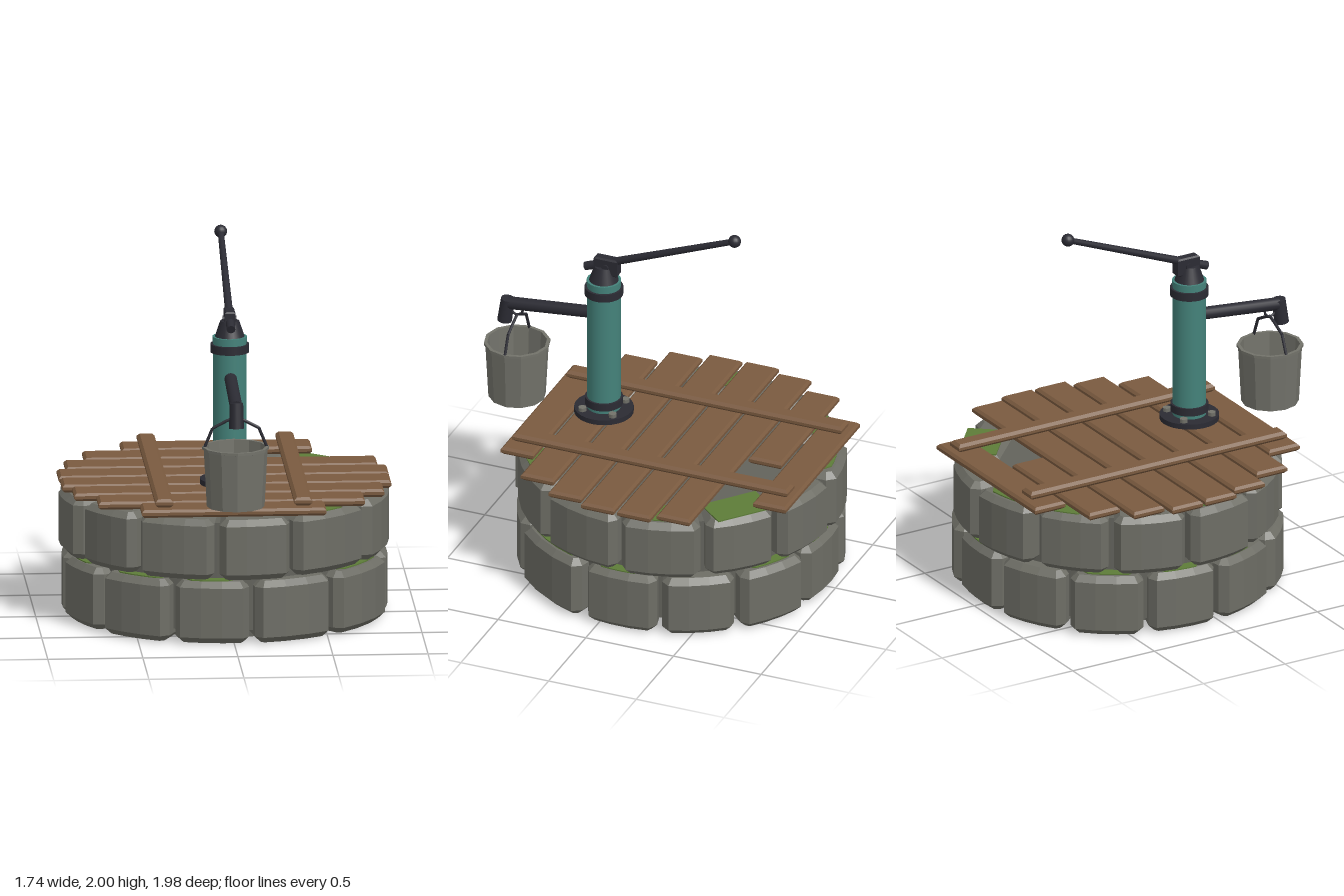
import * as THREE from 'three';

const mat = (name, color, extra = {}) => new THREE.MeshStandardMaterial({ name, color, ...extra });
const rad = THREE.MathUtils.degToRad;

export function createModel() {
  const stone = mat('stone', 0x6d6d65);
  const mortar = mat('mortar', 0x62625b);
  const moss = mat('moss', 0x5d7c38);
  const wood = mat('wood', 0x7a5a3f);
  const iron = mat('iron', 0x2b2b33);
  const teal = mat('teal paint', 0x44827a);
  const tin = mat('tin', 0x72726a);
  const tinFlat = tin.clone();
  tinFlat.name = 'bucket tin';
  tinFlat.flatShading = true;

  const model = new THREE.Group();
  model.name = 'wellPump';
  const group = (name, x = 0, z = 0) => {
    const g = new THREE.Group();
    g.name = name;
    g.position.set(x, 0, z);
    model.add(g);
    return g;
  };
  const add = (parent, name, geometry, material) => {
    const m = new THREE.Mesh(geometry, material);
    m.name = name;
    parent.add(m);
    return m;
  };

  // Chamfered slab: plan outline given as [x, z], standing between y0 and y1
  const slab = (points, y0, y1, bevel) => {
    const shape = new THREE.Shape(points.map(([x, z]) => new THREE.Vector2(x, -z)));
    const g = new THREE.ExtrudeGeometry(shape, {
      depth: y1 - y0 - 2 * bevel, bevelEnabled: bevel > 0, bevelSegments: 1,
      bevelSize: bevel, bevelThickness: bevel, bevelOffset: -bevel,
    });
    return g.rotateX(-Math.PI / 2).translate(0, y0 + bevel, 0);
  };
  const rect = (x0, x1, z0, z1) => [[x0, z0], [x1, z0], [x1, z1], [x0, z1]];
  const polar = (r, deg) => [r * Math.sin(rad(deg)), r * Math.cos(rad(deg))];
  // Ring segment with cut outer corners
  const sector = (a0, a1, rIn, rOut, cut) => {
    const pts = [polar(rIn, a0), polar(rOut - cut, a0)];
    for (let i = 0; i <= 3; i++) pts.push(polar(rOut, a0 + 2.5 + (a1 - a0 - 5) * i / 3));
    pts.push(polar(rOut - cut, a1), polar(rIn, a1));
    return pts;
  };

  // Cylinder between two points
  const rod = (parent, name, a, b, r0, r1, material, sides = 16) => {
    const p = new THREE.Vector3(...a), q = new THREE.Vector3(...b);
    const m = add(parent, name, new THREE.CylinderGeometry(r1, r0, p.distanceTo(q), sides), material);
    m.position.copy(p).add(q).multiplyScalar(0.5);
    m.quaternion.setFromUnitVectors(new THREE.Vector3(0, 1, 0), q.sub(p).normalize());
    return m;
  };

  // Stone ring: two staggered courses of twelve blocks
  const ring = group('stoneRing', 0, -0.12);
  const core = add(ring, 'mortarCore', new THREE.CylinderGeometry(0.77, 0.77, 0.58, 36), mortar);
  core.position.y = 0.35;
  const base = add(ring, 'baseDisc', new THREE.CylinderGeometry(0.66, 0.66, 0.1, 36), mortar);
  base.position.y = 0.051;
  const courses = [
    { y0: 0.005, y1: 0.337, joints: [-53, -23, 6.6, 39, 75, 105], mossy: [0, 1, 3, 4, 6, 7, 9, 10, 11] },
    { y0: 0.348, y1: 0.672, joints: [-37, -6.4, 21.8, 57, 90, 121], mossy: [2, 4, 7, 8, 10] },
  ];
  courses.forEach(({ y0, y1, joints, mossy }, row) => {
    const first = joints[0], last = joints[5];
    const all = [...joints];
    for (let i = 1; i <= 7; i++) all.push(last + (first + 360 - last) * i / 7);
    for (let i = 0; i < 12; i++) {
      const a = all[i] + 1, b = all[i + 1] - 1;
      const r = 0.872 - 0.008 * ((i * 5 + row) % 3);
      add(ring, 'stoneBlock', slab(sector(a, b, 0.62, r, 0.045), y0, y1, 0.032), stone);
      // Moss lying on top of the block
      if (mossy.includes(i)) {
        add(ring, 'mossPatch', slab(sector(a + 4, b - 3 - (i % 3) * 3, 0.67, 0.825, 0.03), y1, y1 + 0.006, 0), moss);
      }
    }
  });
  const patch = add(ring, 'mossPatch', slab(rect(-0.16, 0.16, -0.1, 0.1), 0.672, 0.679, 0), moss);
  patch.position.set(0.5, 0, -0.53);
  patch.rotation.y = -rad(40);

  // Cover of planks, one broken short
  const cover = group('plankCover');
  const spans = [[-0.5, 0.5], [-0.71, 0.07], [-0.82, 0.82], [-0.87, 0.865],
    [-0.865, 0.865], [-0.815, 0.815], [-0.7, 0.7], [-0.485, 0.485]];
  spans.forEach(([x0, x1], i) => {
    const z = -0.835 + 0.2065 * i;
    add(cover, 'plank', slab(rect(x0, x1, z - 0.094, z + 0.094), 0.684, 0.726, 0.013), wood);
  });
  for (const s of [-1, 1]) {
    const x = s * 0.365;
    add(cover, 'crossBatten', slab(rect(x - 0.047, x + 0.047, -0.9, 0.67), 0.73, 0.775, 0.015), wood);
  }

  // Pump column
  const pump = group('pump', 0, 0.32);
  const drum = (name, r0, r1, y0, y1, material) => rod(pump, name, [0, y0, 0], [0, y1, 0], r0, r1, material, 28);
  drum('baseFlange', 0.157, 0.157, 0.78, 0.808, iron);
  drum('column', 0.089, 0.089, 0.8, 1.55, teal);
  drum('lowerCollar', 0.1, 0.1, 0.83, 0.872, iron);
  drum('upperCollar', 0.102, 0.102, 1.488, 1.532, iron);
  drum('topRing', 0.091, 0.091, 1.545, 1.572, teal);
  drum('cap', 0.078, 0.05, 1.572, 1.655, iron);
  for (let i = 0; i < 4; i++) {
    const [x, z] = polar(0.122, 45 + 90 * i);
    rod(pump, 'flangeBolt', [x, 0.805, z], [x, 0.828, z], 0.023, 0.023, tin, 6);
  }

  // Lever
  const lever = group('lever');
  const bracket = add(lever, 'pivotBracket', slab(rect(-0.028, 0.028, -0.067, 0.067), 1.61, 1.71, 0.008), iron);
  bracket.position.z = 0.302;
  rod(lever, 'leverHeel', [0, 1.63, 0.425], [0, 1.69, 0.265], 0.023, 0.023, iron);
  rod(lever, 'leverArm', [0, 1.685, 0.28], [0, 1.965, -0.425], 0.021, 0.016, iron);
  const pin = rod(lever, 'pivotPin', [-0.036, 1.66, 0.3], [0.036, 1.66, 0.3], 0.018, 0.018, iron);
  pin.castShadow = false;
  add(lever, 'leverKnob', new THREE.SphereGeometry(0.034, 16, 12), iron).position.set(0, 1.965, -0.425);

  // Spout
  const spout = group('spout');
  rod(spout, 'spoutPipe', [0, 1.366, 0.34], [0, 1.312, 0.86], 0.033, 0.034, iron);
  rod(spout, 'spoutNozzle', [0, 1.337, 0.868], [0, 1.203, 0.886], 0.036, 0.039, iron);

  // Bucket hanging from the spout
  const bucket = group('bucket', 0, 0.815);
  const profile = [[0, 0.77], [0.152, 0.77], [0.168, 1.076], [0.176, 1.078], [0.176, 1.092],
    [0.158, 1.092], [0.141, 0.79], [0, 0.79]].map(([x, y]) => new THREE.Vector2(x, y));
  add(bucket, 'pail', new THREE.LatheGeometry(profile, 12), tinFlat);
  const bail = [[-0.165, 1.085], [-0.122, 1.19], [-0.05, 1.228], [0, 1.25], [0.05, 1.228], [0.122, 1.19], [0.165, 1.085]];
  for (let i = 0; i < 6; i++) {
    rod(bucket, 'bailHandle', [...bail[i], 0], [...bail[i + 1], 0], 0.008, 0.008, iron, 8);
  }
  const hook = add(bucket, 'hook', new THREE.TorusGeometry(0.032, 0.007, 6, 16), iron);
  hook.position.y = 1.282;
  hook.rotation.y = Math.PI / 2;

  return model;
}
